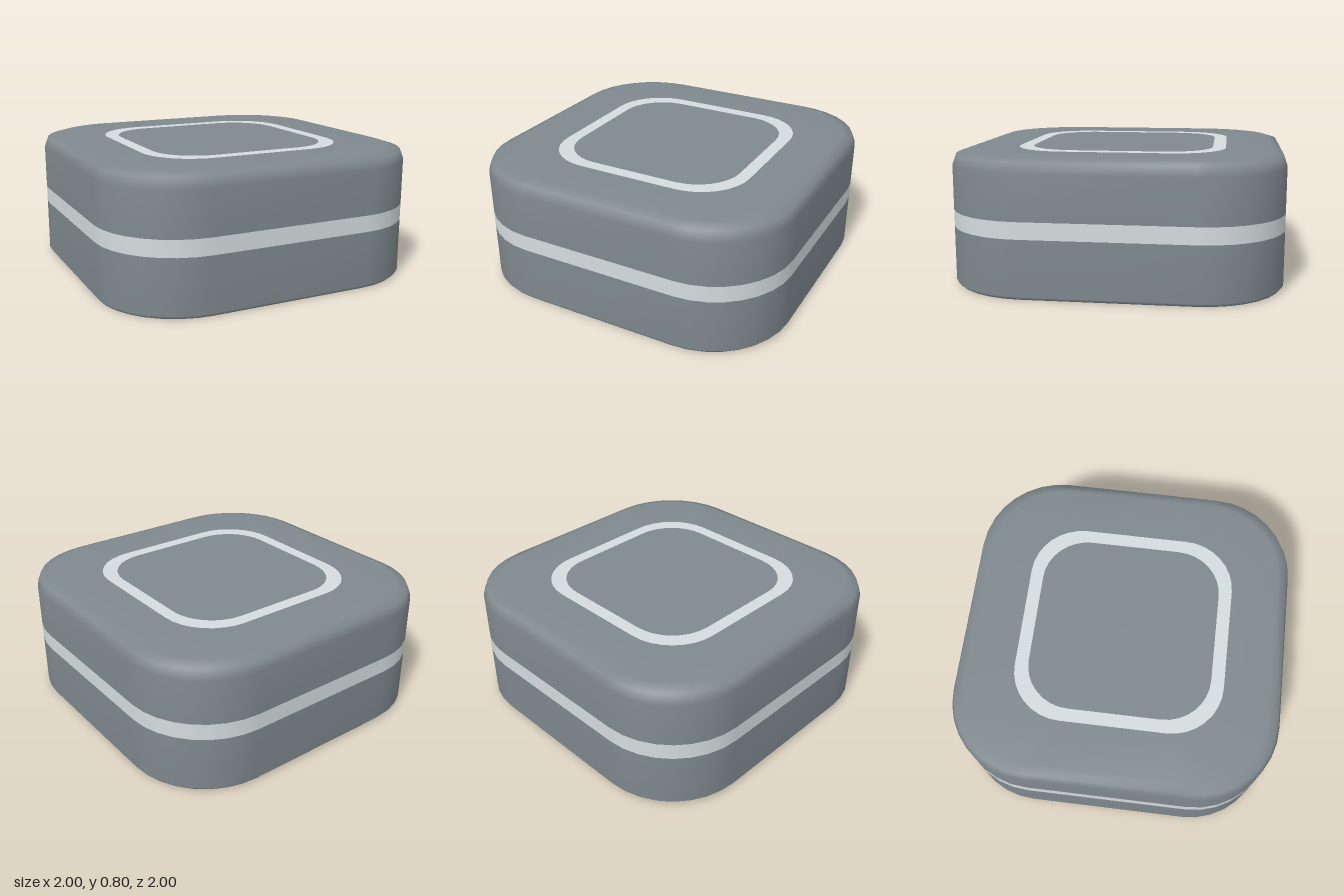
import * as THREE from 'three';

// Rounded-square outline of half-width 1, running from +x towards +z
function outline(radius, steps) {
  const pts = [];
  const c = 1 - radius;
  const centres = [[c, c], [-c, c], [-c, -c], [c, -c]];
  centres.forEach(([cx, cz], q) => {
    for (let k = 0; k <= steps; k++) {
      const a = (q + k / steps) * Math.PI / 2;
      pts.push([cx + radius * Math.cos(a), cz + radius * Math.sin(a)]);
    }
  });
  return pts;
}

export function createModel() {
  const body = new THREE.MeshStandardMaterial({ color: 0x7f898e, side: THREE.DoubleSide });
  body.name = 'slate grey';
  const stripe = new THREE.MeshStandardMaterial({ color: 0xd5dcde, side: THREE.DoubleSide });
  stripe.name = 'pale grey';

  // Rows from the bottom lip to the top centre: [scale, height, colour of the strip above]
  const rows = [
    [0.965, 0, 0], [0.985, 0, 0], [1, 0.02, 0],
    [1, 0.35, 1], [1, 0.45, 0],
    [1, 0.72, 0], [0.98, 0.78, 0], [0.92, 0.8, 0],
    [0.64, 0.8, 1], [0.56, 0.8, 0], [0, 0.8, 0],
  ];
  const ring = outline(0.5, 8);
  const n = ring.length;
  const positions = [];
  for (const [s, y] of rows) {
    for (const [x, z] of ring) positions.push(x * s, y, z * s);
  }

  // One open-bottomed skin, with a colour group for each strip
  const geometry = new THREE.BufferGeometry();
  const index = [];
  for (let i = 0; i < rows.length - 1; i++) {
    const start = index.length;
    for (let j = 0; j < n; j++) {
      const k = (j + 1) % n;
      const a = i * n + j, b = a + n, c = (i + 1) * n + k, d = i * n + k;
      index.push(a, b, d);
      if (rows[i + 1][0] > 0) index.push(b, c, d);
    }
    geometry.addGroup(start, index.length - start, rows[i][2]);
  }
  geometry.setAttribute('position', new THREE.Float32BufferAttribute(positions, 3));
  geometry.setIndex(index);
  geometry.computeVertexNormals();
  // The centre point of the lid faces straight up
  for (let j = 0; j < n; j++) geometry.attributes.normal.setXYZ((rows.length - 1) * n + j, 0, 1, 0);

  const shell = new THREE.Mesh(geometry, [body, stripe]);
  shell.name = 'stripedShell';
  const group = new THREE.Group();
  group.name = 'roundedCover';
  group.add(shell);
  return group;
}
